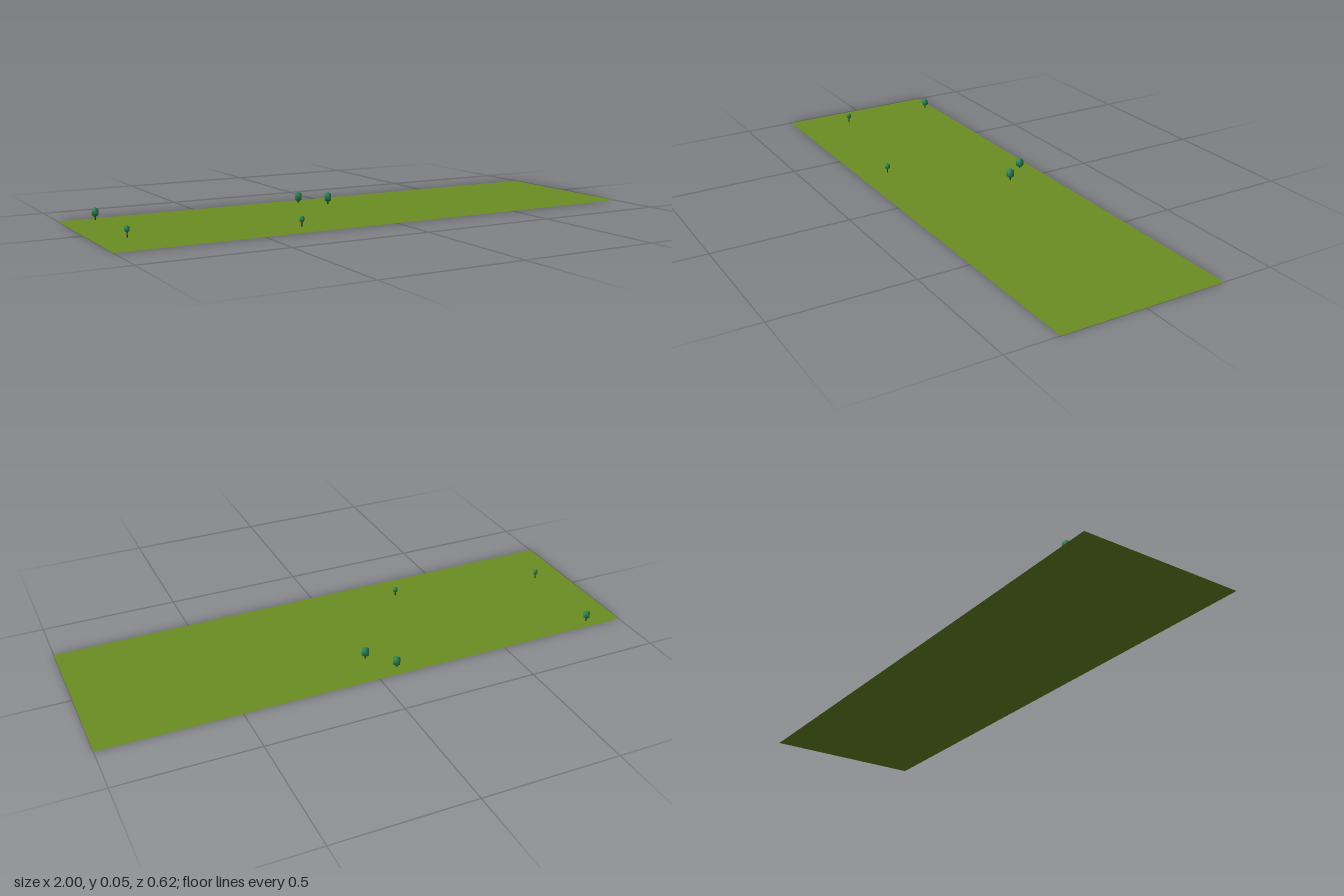
import * as THREE from 'three';

const mat = (color, side = THREE.FrontSide) => new THREE.MeshStandardMaterial({ color, side });

// x, z, canopy bottom, canopy top, canopy radius, trunk radius
const TREES = [
  [-0.31, 0.197, 0.0115, 0.038, 0.0095, 0.0025],
  [-0.885, 0.092, 0.0145, 0.041, 0.0088, 0.0022],
  [-0.01, -0.167, 0.005, 0.049, 0.0145, 0.003],
  [-0.088, -0.259, 0.001, 0.044, 0.0145, 0.003],
  [-0.877, -0.273, 0.0085, 0.046, 0.0122, 0.0027],
];

export function createModel() {
  const model = new THREE.Group();
  model.name = 'field';

  // Flat grass field
  const grass = new THREE.Mesh(
    new THREE.PlaneGeometry(2, 0.615).rotateX(-Math.PI / 2),
    mat(0x6b8e23, THREE.DoubleSide)
  );
  grass.name = 'grass';
  model.add(grass);

  const barkMat = mat(0x4a3320);
  const leafMat = mat(0x2e8b57);
  // Coarse ball: two hexagonal rings between the top and bottom points
  const ball = new THREE.SphereGeometry(1, 6, 3);
  const ringRadius = Math.sin(Math.PI / 3);

  TREES.forEach(([x, z, bottom, top, radius, trunkRadius], i) => {
    const tree = new THREE.Group();
    tree.name = `tree${i + 1}`;
    tree.position.set(x, 0, z);

    // Trunk reaches up into the canopy
    const middle = (bottom + top) / 2;
    const trunk = new THREE.Mesh(
      new THREE.CylinderGeometry(trunkRadius, trunkRadius, middle, 6),
      barkMat
    );
    trunk.name = 'trunk';
    trunk.position.y = middle / 2;

    // Stretched canopy
    const canopy = new THREE.Mesh(ball, leafMat);
    canopy.name = 'canopy';
    canopy.position.y = middle;
    canopy.scale.set(radius / ringRadius, (top - bottom) / 2, radius / ringRadius);

    tree.add(trunk, canopy);
    model.add(tree);
  });

  return model;
}
